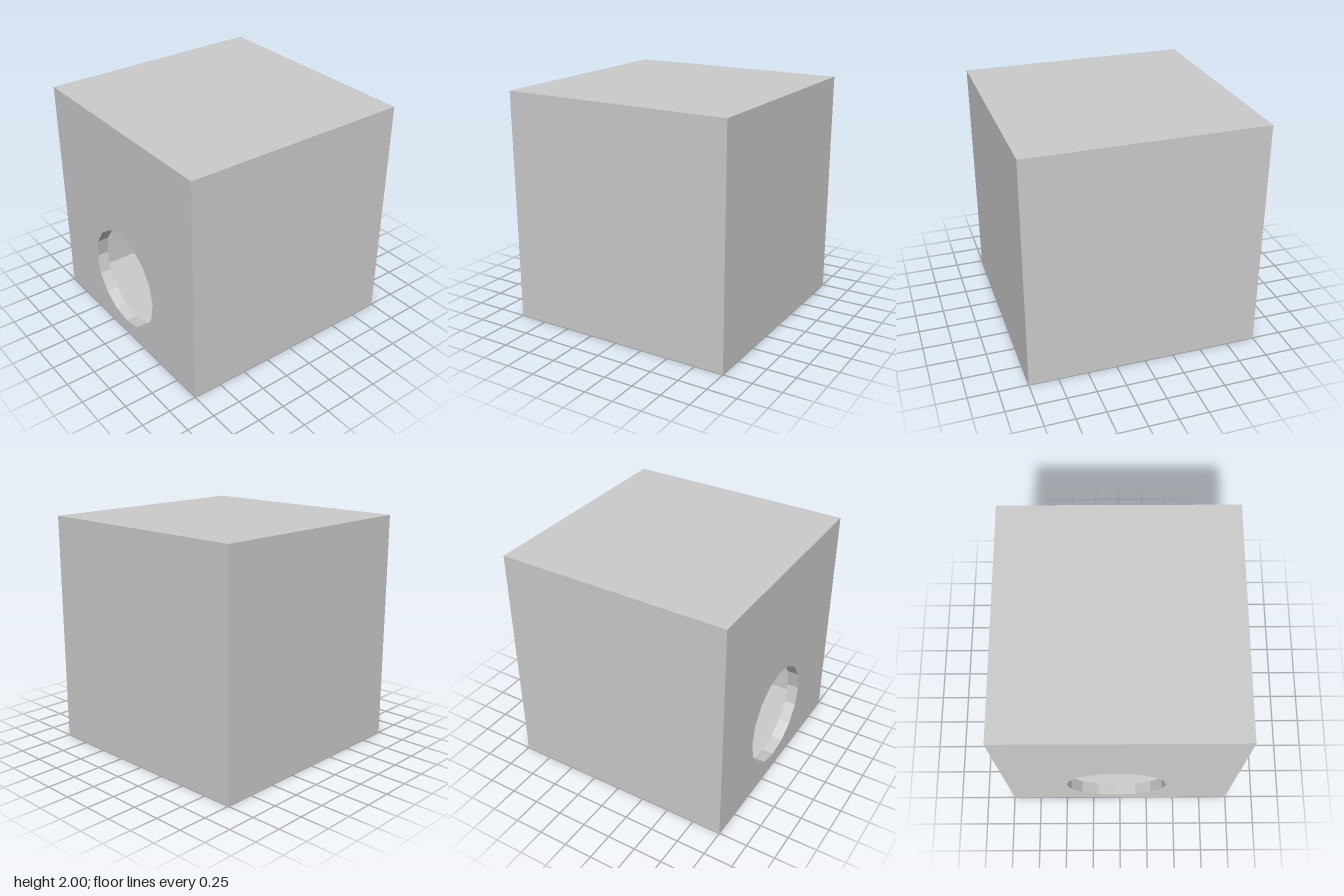
import * as THREE from 'three';

const WALL = 0.1;
const HOLE = { y: 0.565, z: -0.03, r: 0.445, sides: 16 };
const INNER = 2 - 2 * WALL;

// Cube centred at y = 1 with one of its six faces (in BoxGeometry order) left out
function openBox(size, missingFace, inward) {
  const geo = new THREE.BoxGeometry(size, size, size);
  const index = Array.from(geo.index.array);
  index.splice(missingFace * 6, 6);
  geo.setIndex(index);
  geo.clearGroups();
  if (inward) geo.scale(-1, 1, 1); // mirroring turns the faces inward
  geo.computeVertexNormals();
  return geo.translate(0, 1, 0);
}

// Square wall face with the round opening, facing -x (side -1) or +x (side 1)
function holedPanel(size, x, side) {
  const h = size / 2;
  const shape = new THREE.Shape([
    new THREE.Vector2(-h, 1 - h), new THREE.Vector2(h, 1 - h),
    new THREE.Vector2(h, 1 + h), new THREE.Vector2(-h, 1 + h),
  ]);
  const rim = [];
  for (let i = 0; i < HOLE.sides; i++) {
    const a = (i / HOLE.sides) * Math.PI * 2;
    rim.push(new THREE.Vector2(-side * HOLE.z + HOLE.r * Math.cos(a), HOLE.y + HOLE.r * Math.sin(a)));
  }
  shape.holes.push(new THREE.Path(rim));
  return new THREE.ShapeGeometry(shape).rotateY(side * Math.PI / 2).translate(x, 0, 0);
}

export function createModel() {
  const group = new THREE.Group();
  group.name = 'hollowBox';
  const material = new THREE.MeshStandardMaterial({ color: 0xcccccc, flatShading: true });
  const add = (name, geometry) => {
    const mesh = new THREE.Mesh(geometry, material);
    mesh.name = name;
    group.add(mesh);
  };

  // Outer and inner skins, each open on the side with the entrance
  add('outerWalls', openBox(2, 1, false));
  add('innerWalls', openBox(INNER, 0, true));

  // Both faces of the entrance wall
  add('entranceWallOutside', holedPanel(2, -1, -1));
  add('entranceWallInside', holedPanel(INNER, -1 + WALL, 1));

  // Faceted lining of the round opening, facing its axis
  const lining = new THREE.CylinderGeometry(HOLE.r, HOLE.r, WALL, HOLE.sides, 1, true);
  lining.scale(1, -1, 1).rotateZ(Math.PI / 2).translate(-1 + WALL / 2, HOLE.y, HOLE.z);
  lining.computeVertexNormals();
  add('entranceLining', lining);

  return group;
}
